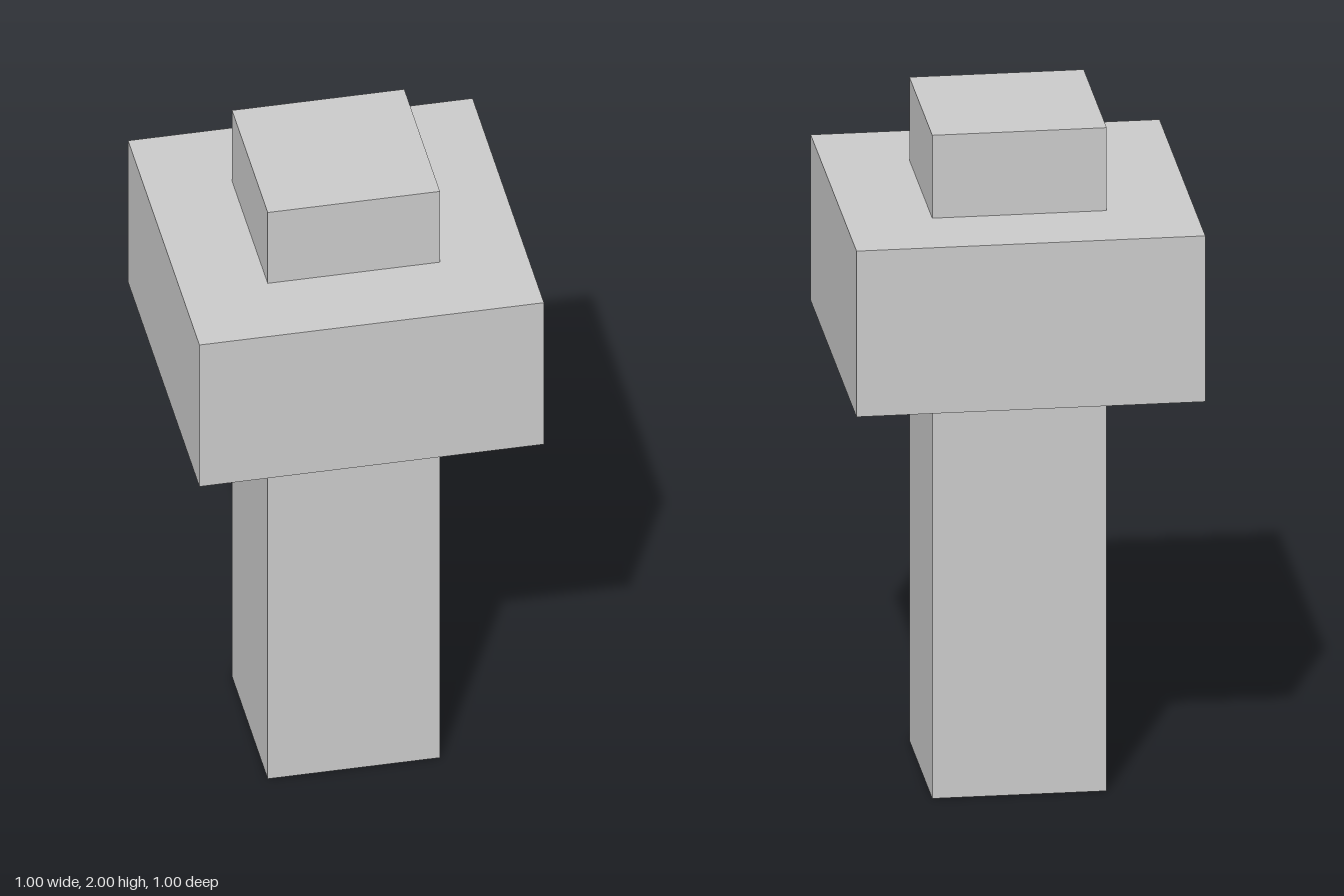
import * as THREE from 'three';

// Square block of a given width, spanning from bottom to top
function block(name, width, bottom, top, material) {
  const mesh = new THREE.Mesh(new THREE.BoxGeometry(width, top - bottom, width), material);
  mesh.name = name;
  mesh.position.y = (bottom + top) / 2;
  return mesh;
}

export function createModel() {
  const group = new THREE.Group();
  group.name = 'post';
  const grey = new THREE.MeshStandardMaterial({ color: 0xcccccc, flatShading: true });

  group.add(
    block('shaft', 0.5, 0, 1.25, grey),    // tall lower post
    block('collar', 1, 1.25, 1.75, grey),  // wide block around the post
    block('cap', 0.5, 1.75, 2, grey)       // short end above the collar
  );
  return group;
}
